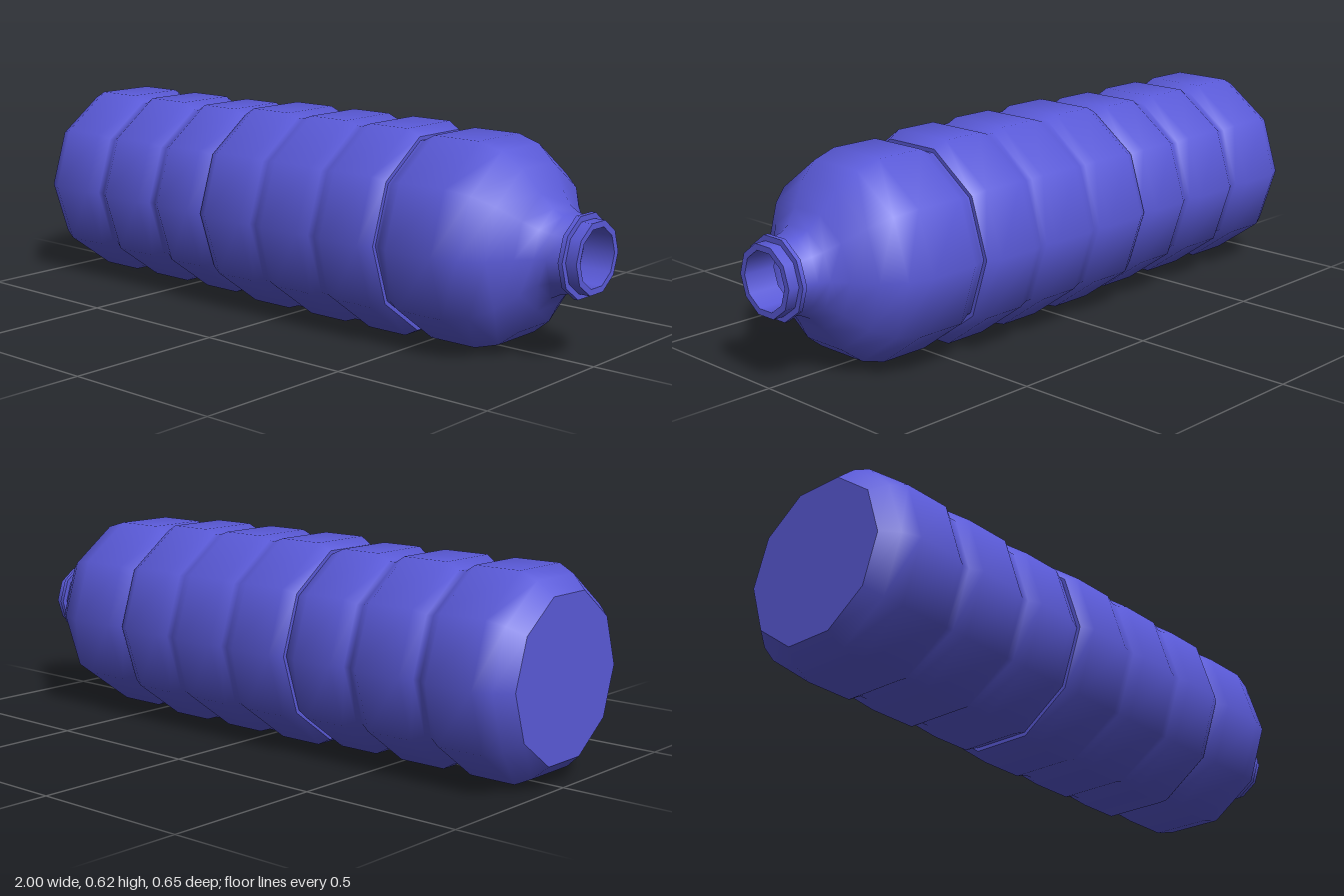
import * as THREE from 'three';

const SIDES = 10;
const CENTRE_Y = 0.308;

export function createModel() {
  const bottle = new THREE.Group();
  bottle.name = 'bottle';
  const material = new THREE.MeshStandardMaterial({ color: 0x5a5ad8, side: THREE.DoubleSide });

  // Each part is turned around the long x axis from [x, radius] pairs.
  function turned(name, profile) {
    const geometry = new THREE.LatheGeometry(profile.map(([x, r]) => new THREE.Vector2(r, x)), SIDES);
    geometry.rotateZ(-Math.PI / 2);
    const mesh = new THREE.Mesh(geometry, material);
    mesh.name = name;
    mesh.position.y = CENTRE_Y;
    bottle.add(mesh);
  }

  // A run of flat bands, with a groove at each x between them.
  function bands(grooves, outer, inner, half = 0.047) {
    return grooves.flatMap((x) => [[x - half, outer], [x - 0.012, inner], [x + 0.012, inner], [x + half, outer]]);
  }

  // Flat base and ribbed lower body
  turned('base', [[-1, 0], [-1, 0.246]]);
  turned('lowerBody', [
    [-1, 0.246], [-0.955, 0.288], [-0.905, 0.313],
    ...bands([-0.71, -0.465], 0.313, 0.291),
    [-0.285, 0.313], [-0.235, 0.29],
  ]);

  // Slightly wider sleeve around the middle, with small steps at its ends
  turned('sleeveRearEdge', [[-0.235, 0.29], [-0.235, 0.302]]);
  turned('sleeve', [
    [-0.235, 0.302], [-0.195, 0.324],
    ...bands([-0.003, 0.23], 0.324, 0.311),
    [0.415, 0.324], [0.455, 0.302],
  ]);
  turned('sleeveFrontEdge', [[0.455, 0.302], [0.455, 0.29]]);

  // Rounded shoulder running into the neck
  turned('shoulder', [
    [0.455, 0.29], [0.465, 0.29], [0.51, 0.313], [0.665, 0.313], [0.74, 0.291], [0.8, 0.243],
    [0.845, 0.175], [0.88, 0.133], [0.91, 0.117], [0.952, 0.107],
  ]);

  // Neck collar, with sharp edges
  turned('collarRear', [[0.952, 0.107], [0.952, 0.123]]);
  turned('collar', [[0.952, 0.123], [0.966, 0.123]]);
  turned('collarFront', [[0.966, 0.123], [0.966, 0.106]]);

  // Open mouth: outer wall, rim and inner wall
  turned('mouthOuter', [[0.966, 0.106], [1, 0.106]]);
  turned('mouthRim', [[1, 0.106], [1, 0.087]]);
  turned('mouthInner', [[1, 0.087], [0.9, 0.087]]);

  return bottle;
}
